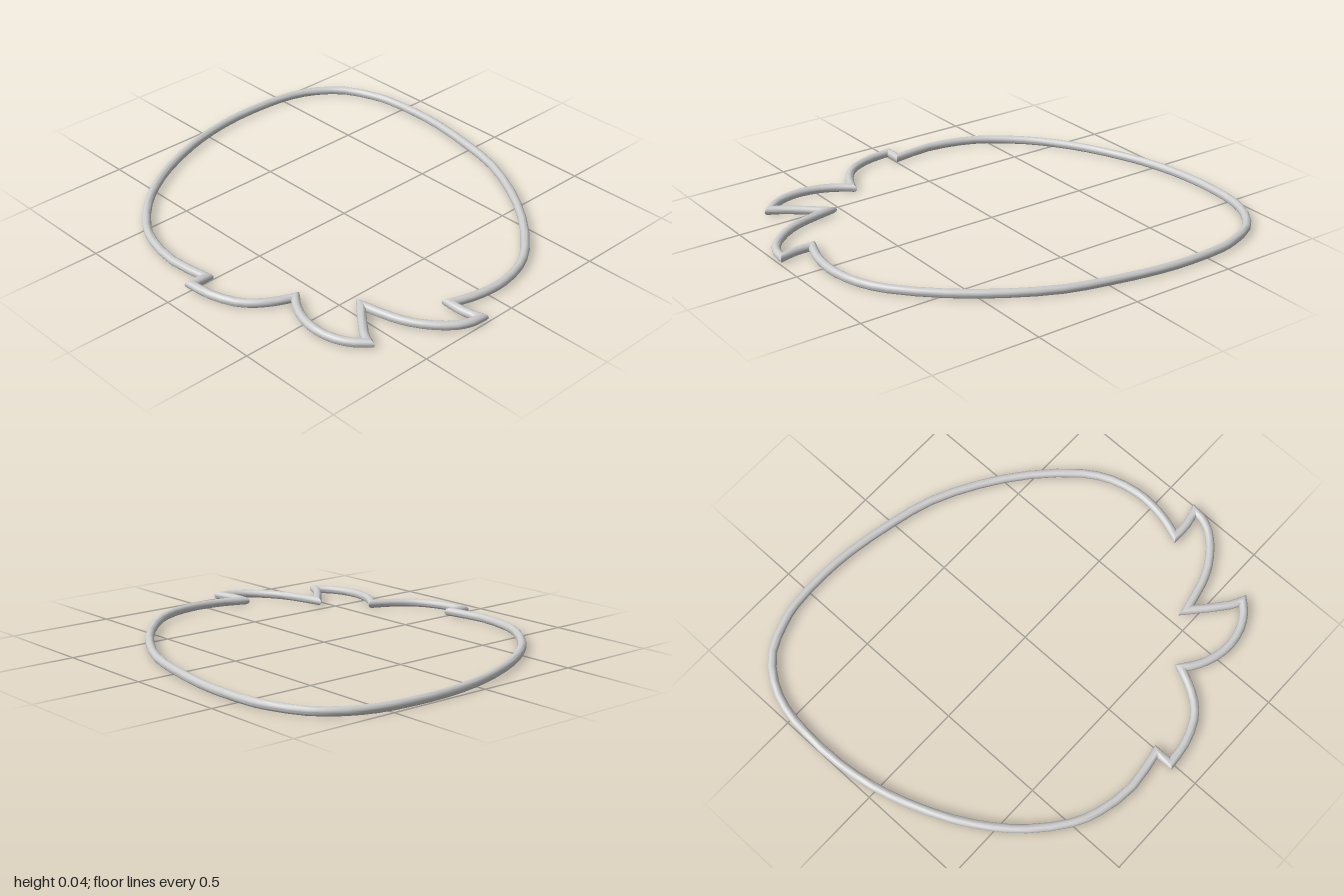
import * as THREE from 'three';
import { toCreasedNormals } from 'three/addons/utils/BufferGeometryUtils.js';

const R = 0.0195, SIDES = 16;

// Centreline spans as [x, z]; each span ends on the sharp corner that starts the next
const SPANS = [
  // step
  [[-0.01, 0.785], [-0.01, 0.866]],
  // first lobe
  [[-0.01, 0.866], [0.1, 0.853], [0.21, 0.812], [0.275, 0.757], [0.325, 0.68], [0.355, 0.612]],
  // second lobe
  [[0.355, 0.612], [0.415, 0.655], [0.495, 0.69], [0.585, 0.703], [0.677, 0.687], [0.745, 0.65], [0.785, 0.61]],
  // notch
  [[0.785, 0.61], [0.73, 0.58], [0.58, 0.453]],
  // third lobe
  [[0.58, 0.453], [0.725, 0.42], [0.805, 0.388], [0.885, 0.334], [0.945, 0.27], [0.972, 0.21], [0.977, 0.162]],
  // barb
  [[0.977, 0.162], [0.9, 0.18], [0.82, 0.18]],
  // large rounded outline
  [[0.82, 0.18], [0.853, 0.083], [0.868, -0.01], [0.868, -0.095], [0.838, -0.225], [0.77, -0.345],
    [0.6, -0.52], [0.405, -0.66], [0.195, -0.767], [0, -0.82], [-0.238, -0.863], [-0.4, -0.873],
    [-0.59, -0.863], [-0.68, -0.84], [-0.815, -0.778], [-0.91, -0.67], [-0.96, -0.55], [-0.981, -0.4],
    [-0.981, -0.2], [-0.955, -0.02], [-0.912, 0.135], [-0.826, 0.34], [-0.735, 0.49], [-0.645, 0.6],
    [-0.495, 0.725], [-0.38, 0.778], [-0.2, 0.81], [-0.01, 0.785]],
];

// Smooth each span, keeping the corners between spans sharp
function centreline() {
  const path = [];
  for (const span of SPANS) {
    const pts = span.map(([x, z]) => new THREE.Vector3(x, 0, z));
    const curve = new THREE.CatmullRomCurve3(pts, false, 'centripetal');
    path.push(...curve.getPoints((pts.length - 1) * 2).slice(0, -1));
  }
  return path;
}

// Closed round sweep with mitred joints
function mitredTube(path) {
  const n = path.length, pos = [], index = [];
  path.forEach((p, i) => {
    const a = p.clone().sub(path[(i + n - 1) % n]).normalize();
    const b = path[(i + 1) % n].clone().sub(p).normalize();
    const side = new THREE.Vector3(-a.z - b.z, 0, a.x + b.x).normalize();
    const reach = R / (side.x * -a.z + side.z * a.x);
    for (let j = 0; j < SIDES; j++) {
      const t = (j / SIDES) * Math.PI * 2, c = Math.cos(t) * reach;
      pos.push(p.x + side.x * c, R + Math.sin(t) * R, p.z + side.z * c);
      const i2 = (i + 1) % n, j2 = (j + 1) % SIDES;
      const q00 = i * SIDES + j, q01 = i * SIDES + j2, q10 = i2 * SIDES + j, q11 = i2 * SIDES + j2;
      index.push(q00, q10, q01, q01, q10, q11);
    }
  });
  const geo = new THREE.BufferGeometry();
  geo.setAttribute('position', new THREE.Float32BufferAttribute(pos, 3));
  geo.setIndex(index);
  return toCreasedNormals(geo, 0.7);
}

export function createModel() {
  const group = new THREE.Group();
  group.name = 'outlineRing';
  const tube = new THREE.Mesh(mitredTube(centreline()), new THREE.MeshStandardMaterial({ color: 0xcccccc }));
  tube.name = 'outlineTube';
  group.add(tube);
  return group;
}
